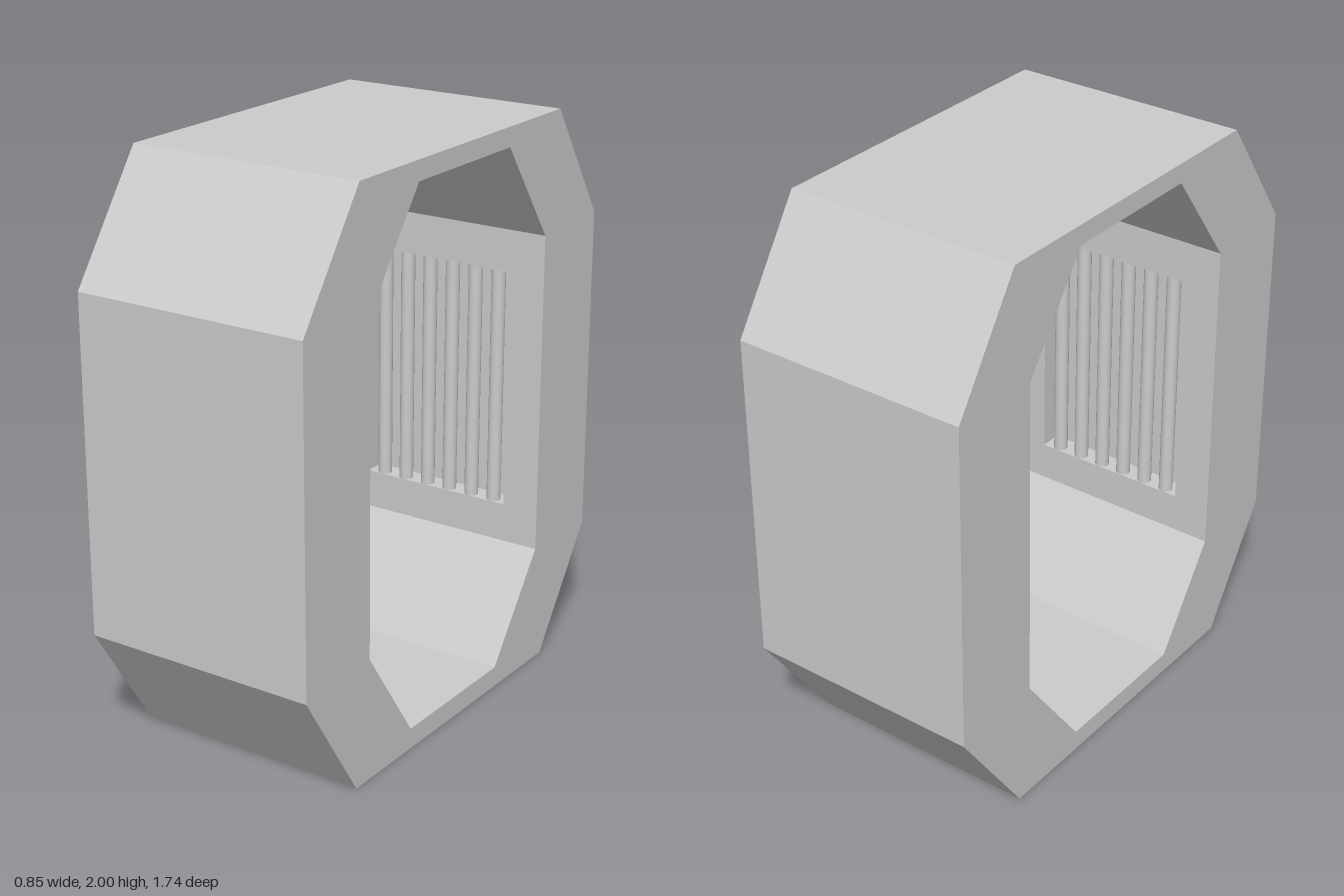
import * as THREE from 'three';

const HALF = 0.425;             // half the ring's width along x
const WALL = 0.525;             // inner wall distance from the centre
const LOW = 0.43, HIGH = 1.58;  // inner wall height range
const WIN = { x: 0.29, y0: 0.57, y1: 1.43, depth: 0.08 };

const solid = new THREE.MeshStandardMaterial({ color: 0xcccccc, flatShading: true });
const thin = new THREE.MeshStandardMaterial({ color: 0xcccccc, flatShading: true, side: THREE.DoubleSide });
const smooth = new THREE.MeshStandardMaterial({ color: 0xcccccc });

// Octagon profiles as [-z, y], counter-clockwise
const outer = [[-0.6, 0], [0.58, 0], [0.87, 0.415], [0.867, 1.59], [0.6, 2], [-0.585, 2], [-0.873, 1.59], [-0.87, 0.42]];
const inner = [[-0.28, 0.073], [0.26, 0.073], [WALL, LOW], [WALL, HIGH], [0.275, 1.932], [-0.265, 1.932], [-WALL, HIGH], [-WALL, LOW]];
const toPoints = (list) => list.map(([u, y]) => new THREE.Vector2(u, y));

function add(parent, name, geometry, material) {
  const mesh = new THREE.Mesh(geometry, material);
  mesh.name = name;
  parent.add(mesh);
  return mesh;
}

// Flat strips between neighbouring profile corners, facing right of travel
function band(loop, skip = () => false) {
  const pos = [];
  loop.forEach((a, i) => {
    const b = loop[(i + 1) % loop.length];
    if (skip(a, b)) return;
    const a0 = [...a, -HALF], a1 = [...a, HALF], b0 = [...b, -HALF], b1 = [...b, HALF];
    pos.push(...a0, ...b0, ...b1, ...a0, ...b1, ...a1);
  });
  const g = new THREE.BufferGeometry();
  g.setAttribute('position', new THREE.Float32BufferAttribute(pos, 3));
  g.computeVertexNormals();
  return g;
}

function rect(Type, x, y0, y1) {
  return new Type(toPoints([[-x, y0], [x, y0], [x, y1], [-x, y1]]));
}

// Inner wall with a shallow barred recess, facing +z
function makeGrille(name) {
  const grille = new THREE.Group();
  grille.name = name;

  const face = rect(THREE.Shape, HALF, LOW, HIGH);
  face.holes.push(rect(THREE.Path, WIN.x, WIN.y0, WIN.y1));
  add(grille, 'innerWall', new THREE.ShapeGeometry(face), solid).position.z = -WALL;

  // Recess: a box without its front face
  const h = WIN.y1 - WIN.y0, midY = (WIN.y0 + WIN.y1) / 2;
  const box = new THREE.BoxGeometry(2 * WIN.x, h, WIN.depth);
  const index = Array.from(box.index.array);
  index.splice(24, 6);
  box.setIndex(index);
  box.clearGroups();
  add(grille, 'recess', box, thin).position.set(0, midY, -WALL - WIN.depth / 2);

  // Six upright bars just behind the opening
  const bar = new THREE.CylinderGeometry(0.025, 0.025, h, 20, 1, true);
  for (let i = 0; i < 6; i++) {
    add(grille, 'bar', bar, smooth).position.set((i - 2.5) * 0.093, midY, -WALL - 0.026);
  }
  return grille;
}

export function createModel() {
  const model = new THREE.Group();
  model.name = 'octagonalFrame';

  // Ring shell, drawn in profile space and turned so its axis lies along x
  const ring = new THREE.Group();
  ring.name = 'ring';
  ring.rotation.y = Math.PI / 2;
  model.add(ring);

  add(ring, 'outerShell', band(outer), solid);
  const isWall = (a, b) => a[0] === b[0] && Math.abs(a[0]) === WALL;
  add(ring, 'innerShell', band([...inner].reverse(), isWall), solid);

  const side = new THREE.Shape(toPoints(outer));
  side.holes.push(new THREE.Path(toPoints(inner)));
  const sideGeometry = new THREE.ShapeGeometry(side);
  add(ring, 'leftSide', sideGeometry, thin).position.z = HALF;
  add(ring, 'rightSide', sideGeometry, thin).position.z = -HALF;

  // Barred walls at the back and front of the opening
  model.add(makeGrille('backGrille'));
  const front = makeGrille('frontGrille');
  front.rotation.y = Math.PI;
  model.add(front);

  return model;
}
